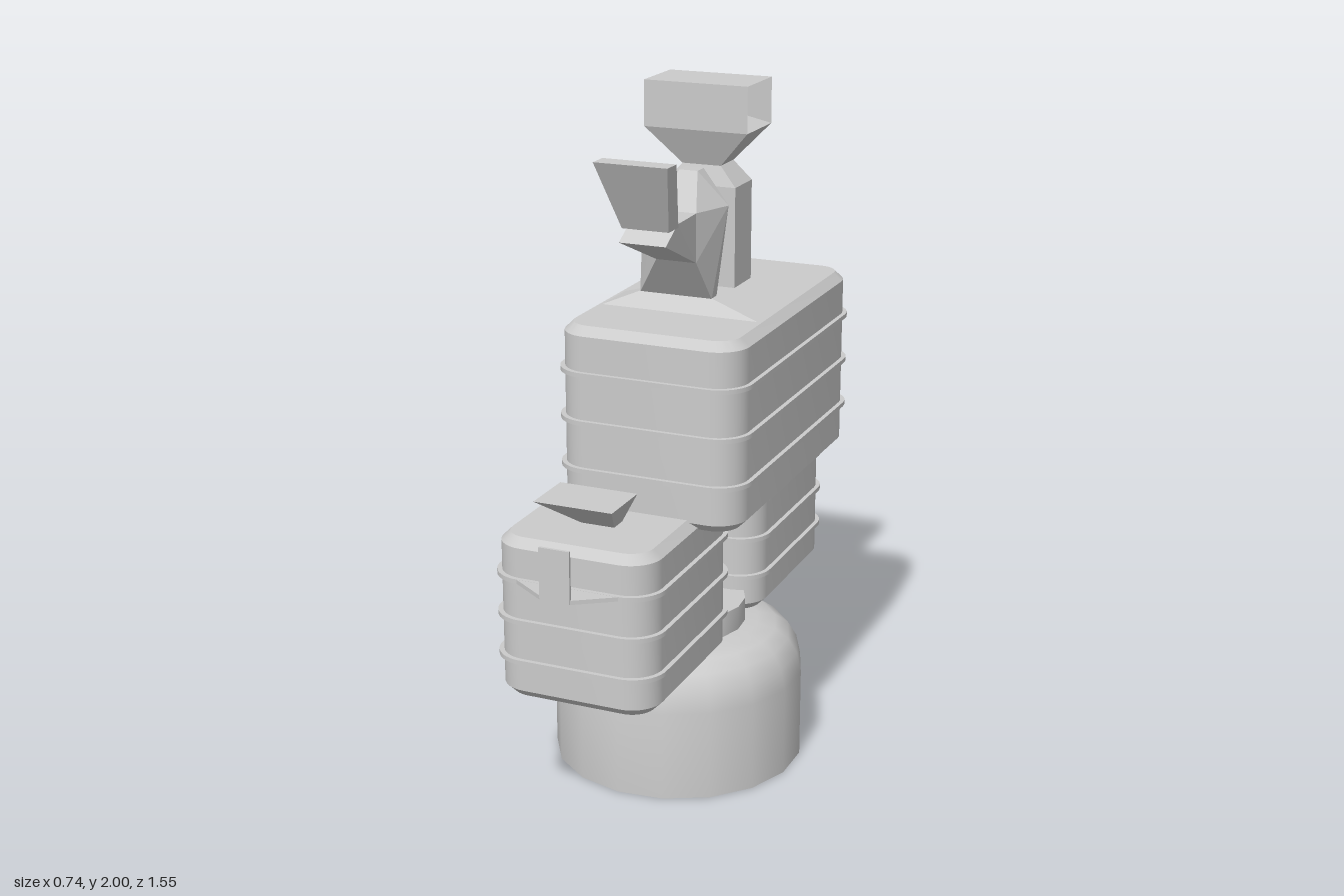
import * as THREE from 'three';
import { ConvexGeometry } from 'three/addons/geometries/ConvexGeometry.js';
import { toCreasedNormals } from 'three/addons/utils/BufferGeometryUtils.js';

const material = new THREE.MeshStandardMaterial({ color: 0xcccccc });

function add(parent, name, geometry) {
  const mesh = new THREE.Mesh(geometry, material);
  mesh.name = name;
  parent.add(mesh);
  return mesh;
}

// Corners of a level rectangle
function rect(y, x0, x1, z0, z1) {
  return [[x0, y, z0], [x1, y, z0], [x1, y, z1], [x0, y, z1]];
}

// Faceted solid spanning several groups of points
function hull(parent, name, ...groups) {
  return add(parent, name, new ConvexGeometry(groups.flat().map((p) => new THREE.Vector3(...p))));
}

// Upright slab with rounded corners and an optional chamfer
function slab(w, d, h, r, chamfer = 0) {
  const x = w / 2 - chamfer, z = d / 2 - chamfer, q = r - chamfer;
  const s = new THREE.Shape();
  s.absarc(x - q, z - q, q, 0, Math.PI / 2);
  s.absarc(-x + q, z - q, q, Math.PI / 2, Math.PI);
  s.absarc(-x + q, -z + q, q, Math.PI, Math.PI * 1.5);
  s.absarc(x - q, -z + q, q, Math.PI * 1.5, Math.PI * 2);
  s.closePath();
  const g = new THREE.ExtrudeGeometry(s, {
    depth: h - 2 * chamfer, curveSegments: 5, bevelEnabled: chamfer > 0,
    bevelSize: chamfer, bevelThickness: chamfer, bevelSegments: 1,
  });
  g.translate(0, 0, chamfer - h / 2).rotateX(-Math.PI / 2);
  return toCreasedNormals(g, 0.5);
}

// Ribbed container given by its limits
function container(name, x0, x1, y0, y1, z0, z1, ribs) {
  const group = new THREE.Group();
  group.name = name;
  const w = x1 - x0, d = z1 - z0, cx = (x0 + x1) / 2, cz = (z0 + z1) / 2;
  add(group, 'containerBody', slab(w, d, y1 - y0, 0.09, 0.025)).position.set(cx, (y0 + y1) / 2, cz);
  for (const y of ribs) {
    add(group, 'rib', slab(w + 0.026, d + 0.026, 0.013, 0.1)).position.set(cx, y, cz);
  }
  return group;
}

// Bracket and upright tab on one end of a container; dir is the outward z direction
function endTab(parent, z, dir) {
  const cx = -0.025;
  const outline = [[-0.17, 0], [0.17, 0], [-0.05, 0.05], [0.05, 0.05], [-0.045, 0.085], [0.045, 0.085]];
  hull(parent, 'tabBracket',
    [0.764, 0.776].flatMap((y) => outline.map(([x, o]) => [cx + x, y, z + dir * o])));
  add(parent, 'upTab', new THREE.BoxGeometry(0.09, 0.15, 0.008)).position.set(cx, 0.84, z + dir * 0.083);
}

export function createModel() {
  const model = new THREE.Group();

  // Round base with a domed shoulder and a low cap
  const profile = [[0, 0], [0.375, 0], [0.375, 0.27], [0.362, 0.33], [0.335, 0.375], [0.295, 0.403],
    [0.24, 0.415], [0, 0.415]].map(([x, y]) => new THREE.Vector2(x, y));
  add(model, 'base', toCreasedNormals(new THREE.LatheGeometry(profile, 17, -Math.PI / 2), 0.7));
  add(model, 'baseCap', toCreasedNormals(new THREE.CylinderGeometry(0.2, 0.2, 0.08, 17), 0.7))
    .position.y = 0.447;

  // Pair of lower containers with a tab at each end
  for (const [name, z0, z1] of [['frontContainer', 0.095, 0.69], ['backContainer', -0.69, -0.095]]) {
    const c = container(name, -0.262, 0.21, 0.415, 0.887, z0, z1, [0.77, 0.65, 0.53]);
    endTab(c, z0, -1);
    endTab(c, z1, 1);
    model.add(c);
  }

  // Flared spout on the front container
  hull(model, 'smallSpout',
    rect(0.88, -0.07, 0.02, 0.45, 0.495), rect(0.99, -0.145, 0.088, 0.49, 0.655));

  // Large upper container
  model.add(container('upperContainer', -0.215, 0.33, 0.855, 1.403, -0.557, 0.375, [1.27, 1.13, 0.99]));

  // Tap on the upper container
  const tap = new THREE.Group();
  tap.name = 'tap';
  model.add(tap);
  hull(tap, 'tapFoot', rect(1.4, -0.19, 0.305, -0.03, 0.135), rect(1.438, -0.09, 0.13, 0.03, 0.07));
  const neck = [[0, 1.56, 0.16], [0.12, 1.56, 0.16], [0, 1.7, 0.16], [0.12, 1.7, 0.16]];
  hull(tap, 'tapBody', rect(1.435, -0.09, 0.13, 0.035, 0.07),
    [[-0.095, 1.7, 0.035], [0.165, 1.7, 0.035]], neck);
  hull(tap, 'tapArm', neck,
    [[-0.012, 1.655, 0.38], [0.125, 1.655, 0.38], [-0.012, 1.7, 0.3], [0.125, 1.7, 0.3]]);
  hull(tap, 'tapFin', rect(1.8, 0.035, 0.09, 0.037, 0.08),
    [[-0.095, 1.7, 0.035], [0.165, 1.7, 0.035], [0, 1.7, 0.16], [0.12, 1.7, 0.16]]);
  hull(tap, 'tapLip', rect(1.69, -0.012, 0.125, 0.295, 0.36), rect(1.885, -0.048, 0.165, 0.4, 0.46));

  // Post with a pinched neck
  const post = new THREE.Group();
  post.name = 'post';
  model.add(post);
  const base = rect(1.39, -0.125, 0.098, -0.312, -0.182);
  const shoulder = rect(1.7, -0.125, 0.098, -0.312, -0.182);
  const waist = rect(1.757, -0.075, 0.045, -0.298, -0.2);
  hull(post, 'postShaft', base, shoulder);
  hull(post, 'postNeck', shoulder, waist);
  hull(post, 'headFunnel', waist, rect(1.865, -0.175, 0.145, -0.342, -0.152));

  // Head block with a tapering window in its left side
  const floorX = 0.06, faceX = 0.145;
  hull(post, 'headBlock', rect(1.865, -0.175, floorX, -0.342, -0.152), rect(2, -0.175, floorX, -0.342, -0.152));
  const outer = [[1.865, -0.342], [1.865, -0.152], [2, -0.152], [2, -0.342]];
  const inner = [[1.895, -0.3], [1.895, -0.195], [1.97, -0.195], [1.97, -0.3]];
  for (let i = 0; i < 4; i++) {
    const j = (i + 1) % 4;
    hull(post, 'windowWall', [[faceX, ...outer[i]], [faceX, ...outer[j]], [floorX, ...outer[i]],
      [floorX, ...outer[j]], [floorX, ...inner[i]], [floorX, ...inner[j]]]);
  }
  return model;
}
